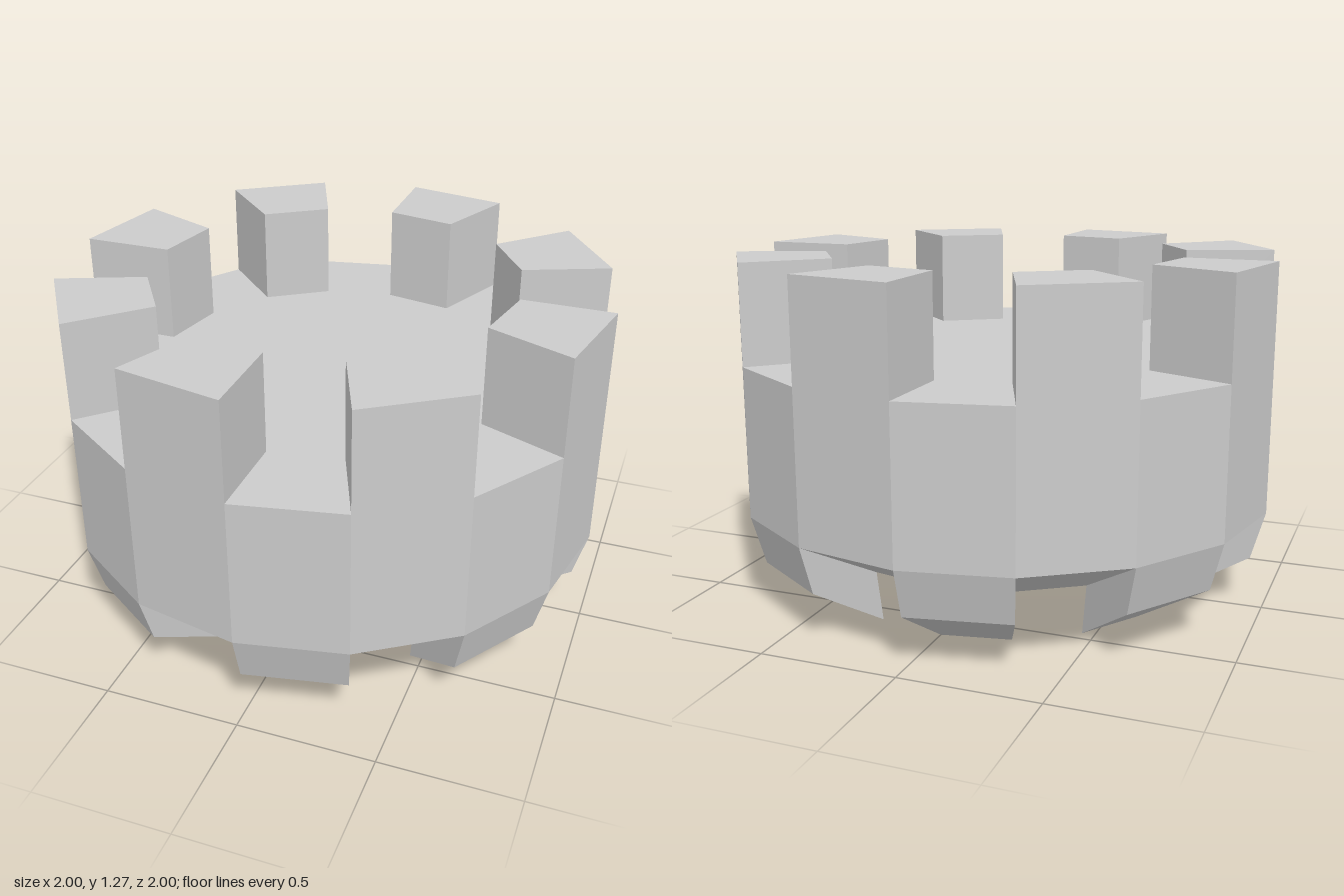
import * as THREE from 'three';

const SIDES = 16;
const STEP = (Math.PI * 2) / SIDES;
const FLOOR = 0.909, TOP = 1.27, SHOULDER = 0.364, BASE = 0.187;
const INNER = 0.67;

// One ring segment: a convex [radius, y] profile (counter-clockwise) turned by one step.
// The profile's first edge rests on the core and gets no face.
function wedgeGeometry(profile) {
  const at = ([r, y], a) => [r * Math.sin(a), y, r * Math.cos(a)];
  const pos = [];
  const tri = (...corners) => corners.forEach((c) => pos.push(...c));
  const n = profile.length;
  for (let i = 1; i < n; i++) {
    const p = profile[i], q = profile[(i + 1) % n];
    tri(at(p, 0), at(p, STEP), at(q, STEP));
    tri(at(p, 0), at(q, STEP), at(q, 0));
  }
  for (let i = 1; i < n - 1; i++) {
    const [a, b, c] = [profile[0], profile[i], profile[i + 1]];
    tri(at(a, 0), at(b, 0), at(c, 0));
    tri(at(a, STEP), at(c, STEP), at(b, STEP));
  }
  const geometry = new THREE.BufferGeometry();
  geometry.setAttribute('position', new THREE.Float32BufferAttribute(pos, 3));
  geometry.computeVertexNormals();
  return geometry;
}

export function createModel() {
  const model = new THREE.Group();
  model.name = 'battlementRing';
  const material = new THREE.MeshStandardMaterial({ color: 0xcccccc, flatShading: true });

  const add = (name, geometry, turn = 0) => {
    const mesh = new THREE.Mesh(geometry, material);
    mesh.name = name;
    mesh.rotation.y = turn;
    model.add(mesh);
  };

  // Solid core: flat underside, sloped shoulder, straight wall, flat floor
  const coreProfile = [[0, BASE], [INNER, BASE], [1, SHOULDER], [1, FLOOR], [0, FLOOR]];
  const core = new THREE.LatheGeometry(coreProfile.map(([r, y]) => new THREE.Vector2(r, y)), SIDES);
  add('core', core);

  // Alternating segments: merlons above, tapered teeth below
  const merlon = wedgeGeometry([[INNER, FLOOR], [1, FLOOR], [1, TOP], [INNER, TOP]]);
  const tooth = wedgeGeometry([[1, SHOULDER], [INNER, BASE], [0.643, 0], [0.95, BASE]]);
  for (let i = 0; i < SIDES; i += 2) {
    add('merlon', merlon, (i - 1) * STEP);
    add('tooth', tooth, i * STEP);
  }
  return model;
}
